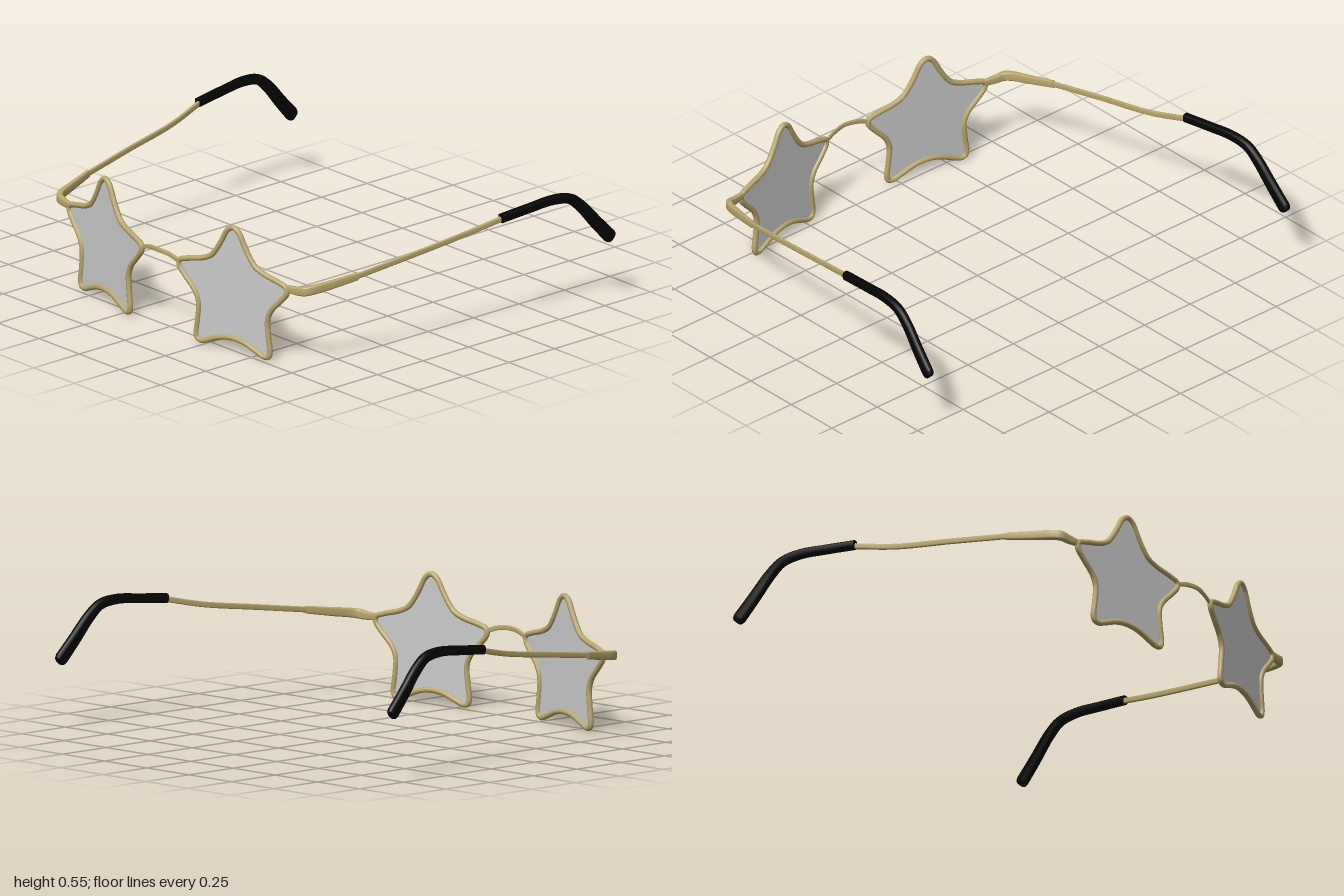
import * as THREE from 'three';

const gold = new THREE.MeshStandardMaterial({ color: 0xbaa76c });
const black = new THREE.MeshStandardMaterial({ color: 0x040404 });
const tint = new THREE.MeshStandardMaterial({ color: 0xcccccc, side: THREE.DoubleSide });

const named = (name, geometry, material) => {
  const mesh = new THREE.Mesh(geometry, material);
  mesh.name = name;
  return mesh;
};

// Sweeps a section along a path; each station is [x, y, z, halfWidth, halfHeight].
// A power of 1 gives an ellipse, smaller powers a squarer section.
function sweep(stations, steps, power = 1, sides = 16) {
  const curve = new THREE.CatmullRomCurve3(stations.map(s => new THREE.Vector3(s[0], s[1], s[2])), false, 'centripetal');
  const bulge = v => Math.sign(v) * Math.pow(Math.abs(v), power);
  const pos = [], index = [];
  const ring = (t, scale) => {
    const p = curve.getPoint(t), tan = curve.getTangent(t);
    const f = t * (stations.length - 1), i = Math.min(Math.floor(f), stations.length - 2);
    const w = THREE.MathUtils.lerp(stations[i][3], stations[i + 1][3], f - i) * scale;
    const h = THREE.MathUtils.lerp(stations[i][4], stations[i + 1][4], f - i) * scale;
    const side = new THREE.Vector3(0, 1, 0).cross(tan).normalize();
    const up = tan.clone().cross(side);
    for (let k = 0; k < sides; k++) {
      const a = k / sides * Math.PI * 2;
      const v = p.clone().addScaledVector(side, w * bulge(Math.cos(a))).addScaledVector(up, h * bulge(Math.sin(a)));
      pos.push(v.x, v.y, v.z);
    }
  };
  // Collapsed, then doubled end rings keep the flat caps crisp
  const rings = [[0, 0], [0, 1]];
  for (let j = 0; j <= steps; j++) rings.push([j / steps, 1]);
  rings.push([1, 1], [1, 0]);
  rings.forEach(([t, s]) => ring(t, s));
  for (let j = 0; j < rings.length - 1; j++) {
    if (j === 1 || j === rings.length - 3) continue;
    for (let k = 0; k < sides; k++) {
      const a = j * sides + k, b = j * sides + (k + 1) % sides;
      index.push(a, b, a + sides, b, b + sides, a + sides);
    }
  }
  const g = new THREE.BufferGeometry();
  g.setAttribute('position', new THREE.Float32BufferAttribute(pos, 3));
  g.setIndex(index);
  g.computeVertexNormals();
  return g;
}

// Rounded star outline: right half, mirrored to the left
function starCurve() {
  const half = [
    [0, 0.542], [0.028, 0.526], [0.058, 0.474], [0.085, 0.43], [0.115, 0.395], [0.16, 0.374],
    [0.235, 0.355], [0.276, 0.339], [0.278, 0.317], [0.25, 0.281], [0.196, 0.223], [0.178, 0.178],
    [0.182, 0.105], [0.19, 0.04], [0.183, 0.018], [0.161, 0.013], [0.135, 0.022], [0.06, 0.051], [0, 0.059]
  ];
  const left = half.slice(1, -1).reverse().map(([x, y]) => [-x, y]);
  const points = [...half, ...left].map(([x, y]) => new THREE.Vector3(x * 1.015, y, 0));
  return new THREE.CatmullRomCurve3(points, true, 'centripetal');
}

function createSide(label) {
  const side = new THREE.Group();
  side.name = label + 'Side';

  // Star rim and its lens, angled back towards the temple
  const star = new THREE.Group();
  star.name = label + 'StarLens';
  const outline = starCurve();
  star.add(named('rim', new THREE.TubeGeometry(outline, 180, 0.0118, 10, true), gold));
  const shape = new THREE.Shape(outline.getPoints(144).map(p => new THREE.Vector2(p.x, p.y)));
  star.add(named('lens', new THREE.ShapeGeometry(shape), tint));
  star.position.set(0.394, 0, 0.755);
  star.rotation.y = 0.174;
  side.add(star);

  // Flat end piece wrapping around the corner
  side.add(named('endPiece', sweep([
    [0.668, 0.338, 0.705, 0.010, 0.014],
    [0.72, 0.339, 0.695, 0.012, 0.018],
    [0.757, 0.344, 0.684, 0.014, 0.020],
    [0.776, 0.349, 0.655, 0.013, 0.020],
    [0.796, 0.357, 0.59, 0.011, 0.019],
    [0.831, 0.376, 0.46, 0.008, 0.016]
  ], 40, 0.5), gold));

  // Thin temple arm
  side.add(named('templeArm', sweep([
    [0.829, 0.375, 0.47, 0.006, 0.012],
    [0.866, 0.412, 0.2, 0.006, 0.012],
    [0.897, 0.448, -0.06, 0.006, 0.012],
    [0.938, 0.49, -0.26, 0.007, 0.012]
  ], 30, 0.5), gold));

  // Ear tip hooking downwards, with a rounded end
  side.add(named('earTip', sweep([
    [0.936, 0.489, -0.235, 0.017, 0.020],
    [0.948, 0.503, -0.38, 0.017, 0.020],
    [0.957, 0.512, -0.5, 0.017, 0.021],
    [0.963, 0.498, -0.588, 0.018, 0.022],
    [0.967, 0.455, -0.645, 0.018, 0.025],
    [0.975, 0.365, -0.725, 0.018, 0.028],
    [0.981, 0.295, -0.79, 0.018, 0.030],
    [0.982, 0.284, -0.801, 0.016, 0.025],
    [0.982, 0.279, -0.806, 0.010, 0.016]
  ], 64, 0.75), black));
  return side;
}

export function createModel() {
  const model = new THREE.Group();
  model.name = 'starGlasses';
  const left = createSide('left');
  const right = createSide('right');
  right.scale.x = -1;
  model.add(left, right);

  // Arched nose bridge
  model.add(named('bridge', sweep([
    [-0.116, 0.332, 0.803, 0.005, 0.010],
    [-0.06, 0.350, 0.811, 0.005, 0.010],
    [0, 0.355, 0.819, 0.005, 0.010],
    [0.06, 0.350, 0.811, 0.005, 0.010],
    [0.116, 0.332, 0.803, 0.005, 0.010]
  ], 32, 0.6), gold));
  return model;
}
